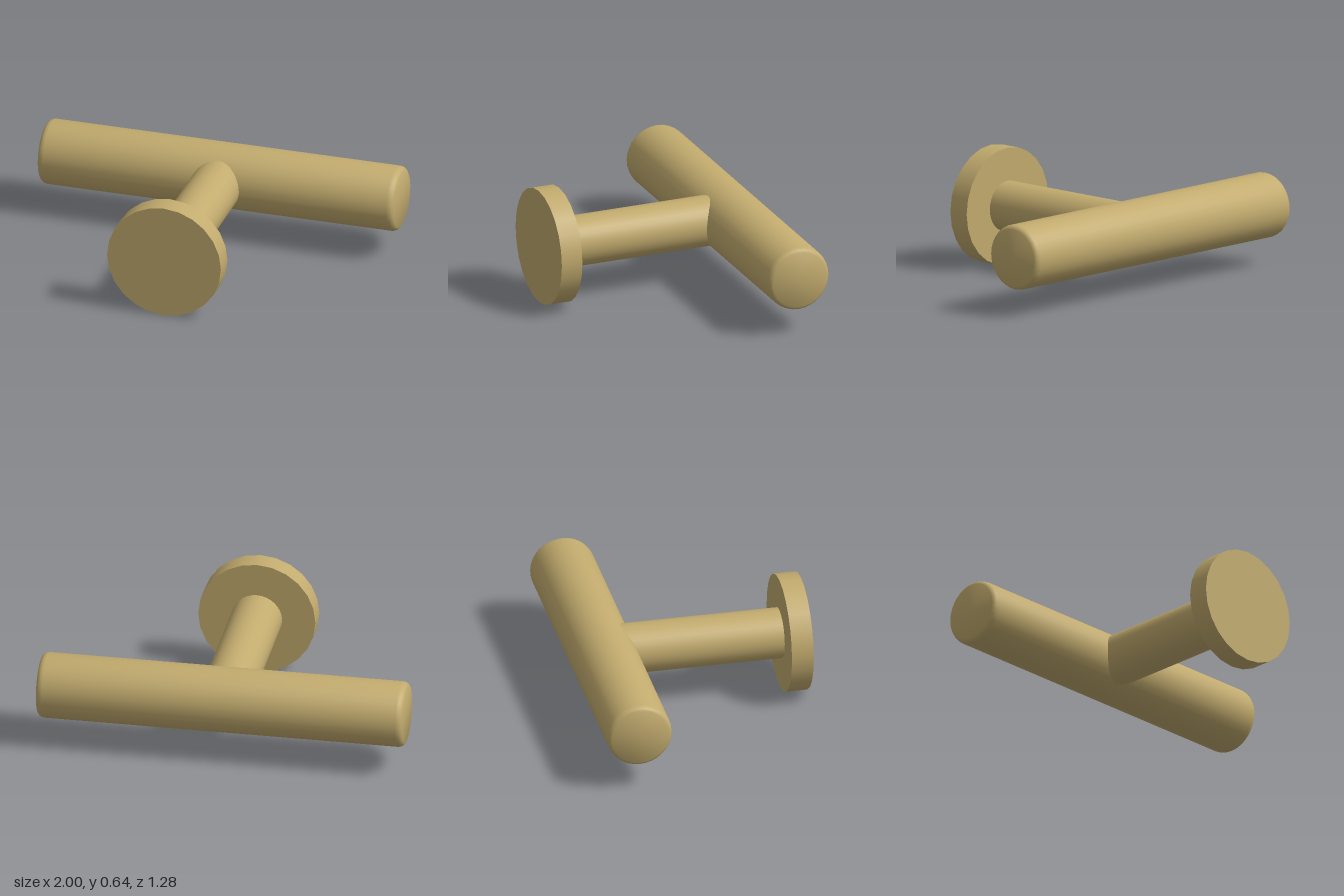
import * as THREE from 'three';
import { toCreasedNormals } from 'three/addons/utils/BufferGeometryUtils.js';

export function createModel() {
  const group = new THREE.Group();
  const brass = new THREE.MeshStandardMaterial({ color: 0xc2ab6e });
  brass.name = 'brushed brass';

  const axisY = 0.32; // height shared by every part
  const add = (name, geometry, z) => {
    const mesh = new THREE.Mesh(geometry, brass);
    mesh.name = name;
    mesh.position.set(0, axisY, z);
    group.add(mesh);
  };

  // Cross bar with softly rounded ends, mirrored about its middle
  const end = [[0.178, 0.965], [0.175, 0.98], [0.168, 0.992], [0.156, 1], [0, 1]];
  const profile = [
    ...end.map(([r, h]) => [r, -h]).reverse(),
    ...end,
  ].map(([r, h]) => new THREE.Vector2(r, h));
  const bar = toCreasedNormals(new THREE.LatheGeometry(profile, 32), 0.6);
  bar.rotateZ(Math.PI / 2);
  add('crossBar', bar, -0.462);

  // Post running from inside the bar to the flange
  const post = new THREE.CylinderGeometry(0.138, 0.138, 0.98, 32);
  post.rotateX(Math.PI / 2);
  add('post', post, 0.03);

  // Round mounting flange
  const flange = new THREE.CylinderGeometry(0.32, 0.32, 0.12, 24);
  flange.rotateX(Math.PI / 2);
  add('flange', flange, 0.58);

  return group;
}
